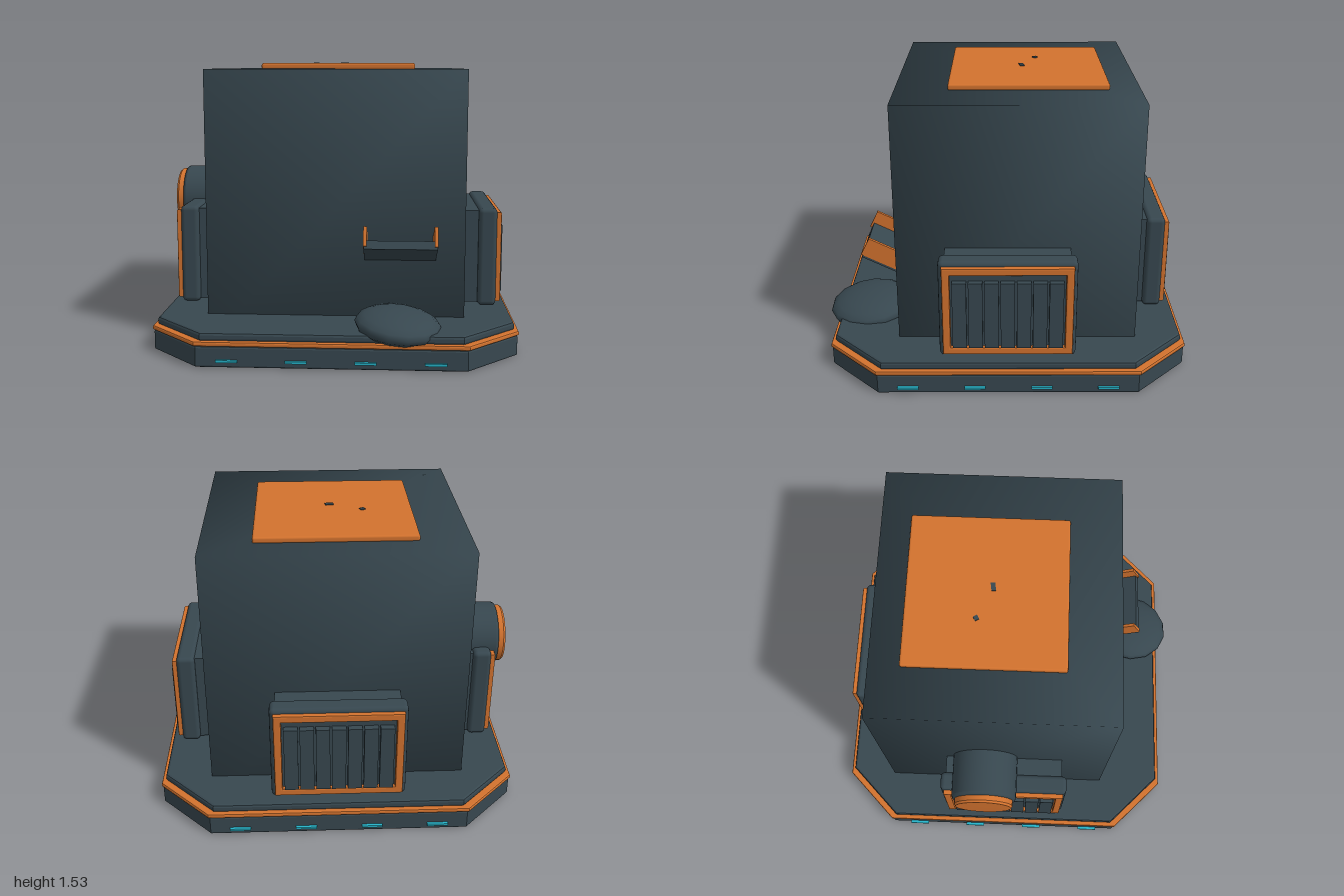
import * as THREE from 'three';
import { mergeVertices } from 'three/addons/utils/BufferGeometryUtils.js';
import { RoundedBoxGeometry } from 'three/addons/geometries/RoundedBoxGeometry.js';

const mat = (name, color) => {
  const m = new THREE.MeshStandardMaterial({ color });
  m.name = name;
  return m;
};

export function createModel() {
  const slate = mat('slate', 0x37474f);
  const orange = mat('orange', 0xd2722e);
  const cyan = mat('cyan', 0x26b4ca);
  const model = new THREE.Group();
  model.name = 'machine';
  const CZ = -0.023; // centre of the base along z

  const add = (parent, name, geo, material, x = 0, y = 0, z = 0) => {
    const mesh = new THREE.Mesh(geo, material);
    mesh.name = name;
    mesh.position.set(x, y, z);
    parent.add(mesh);
    return mesh;
  };
  const box = (w, h, d) => new THREE.BoxGeometry(w, h, d);
  const rounded = (w, h, d, r) => new RoundedBoxGeometry(w, h, d, 2, r);

  // Octagonal base: bevelled slab, trim band and upper deck
  const octagon = (half, cut) => {
    const a = half - cut;
    return new THREE.Shape([
      [half, -a], [half, a], [a, half], [-a, half],
      [-half, a], [-half, -a], [-a, -half], [a, -half],
    ].map(([x, y]) => new THREE.Vector2(x, y)));
  };
  const slab = (name, half, y0, y1, bevel, material) => {
    const geo = new THREE.ExtrudeGeometry(octagon(half - bevel, 0.272), {
      depth: y1 - y0 - 2 * bevel, bevelEnabled: true,
      bevelSize: bevel, bevelThickness: bevel, bevelSegments: 2,
    });
    geo.rotateX(-Math.PI / 2);
    add(model, name, geo, material, 0, y0 + bevel, CZ);
  };
  slab('baseSlab', 0.962, 0.005, 0.115, 0.01, slate);
  slab('baseTrim', 0.968, 0.115, 0.14, 0.008, orange);
  slab('baseDeck', 0.945, 0.135, 0.18, 0.014, slate);

  // Marker lights, four on each side of the base
  for (let side = 0; side < 4; side++) {
    const lights = new THREE.Group();
    lights.name = 'markerLights';
    lights.position.z = CZ;
    lights.rotation.y = side * Math.PI / 2;
    for (let i = 0; i < 4; i++) {
      add(lights, 'markerLight', box(0.11, 0.012, 0.016), cyan, (i - 1.5) * 0.35, 0.042, 0.97);
    }
    model.add(lights);
  }

  // Main housing, with normals shared across the corners for soft shading
  let housing = box(1.38, 1.475, 1.285);
  housing.deleteAttribute('normal');
  housing.deleteAttribute('uv');
  housing = mergeVertices(housing);
  housing.computeVertexNormals();
  add(model, 'housing', housing, slate, 0, 0.757, -0.072);

  // Roof plate with two small chips
  add(model, 'roofPlate', rounded(0.845, 0.035, 0.845, 0.012), orange, 0, 1.508, -0.13);
  [[-0.155, -0.18, 0.026, 0.5], [0.02, -0.1, 0.045, 0.15]].forEach(([x, z, w, turn]) => {
    add(model, 'roofChip', box(w, 0.01, 0.024), slate, x, 1.526, z).rotation.y = turn;
  });

  // Vents on the left, right and back
  const rect = (w, h, Kind) => new Kind([
    new THREE.Vector2(-w / 2, -h / 2), new THREE.Vector2(w / 2, -h / 2),
    new THREE.Vector2(w / 2, h / 2), new THREE.Vector2(-w / 2, h / 2),
  ]);
  const frameShape = rect(0.66, 0.485, THREE.Shape);
  frameShape.holes.push(rect(0.61, 0.435, THREE.Path));
  const frameGeo = new THREE.ExtrudeGeometry(frameShape, {
    depth: 0.024, bevelEnabled: true, bevelSize: 0.008, bevelThickness: 0.006, bevelSegments: 2,
  });
  for (const [name, turn] of [['leftVent', 1], ['backVent', 2], ['rightVent', 3]]) {
    const vent = new THREE.Group();
    vent.name = name;
    vent.position.set(0, 0.457, CZ + 0.003);
    vent.rotation.y = turn * Math.PI / 2;
    add(vent, 'ventNeck', box(0.66, 0.52, 0.16), slate, 0, 0, 0.72);
    add(vent, 'ventPanel', rounded(0.715, 0.55, 0.102, 0.025), slate, 0, 0, 0.834);
    add(vent, 'ventFrame', frameGeo, orange, 0, 0, 0.88);
    for (let i = 0; i < 7; i++) {
      add(vent, 'ventSlat', box(0.073, 0.375, 0.04), slate, (i - 3) * 0.083, -0.017, 0.9);
    }
    model.add(vent);
  }

  // Side pipe with an end cap
  const lathe = (pts) => new THREE.LatheGeometry(pts.map(([r, y]) => new THREE.Vector2(r, y)), 32);
  const pipe = new THREE.Group();
  pipe.name = 'sidePipe';
  pipe.position.set(-0.65, 0.727, -0.128);
  pipe.rotation.z = Math.PI / 2;
  add(pipe, 'pipeBody', lathe([
    [0.182, 0], [0.182, 0.27], [0.182, 0.27], [0.176, 0.284], [0.16, 0.288], [0, 0.288],
  ]), slate);
  add(pipe, 'pipeCap', lathe([
    [0.164, 0.28], [0.164, 0.315], [0.164, 0.315], [0.155, 0.327], [0.155, 0.327], [0, 0.328],
  ]), orange);
  model.add(pipe);

  // Tilted chute with side rails
  const chute = new THREE.Group();
  chute.name = 'chute';
  chute.position.set(0.346, 0.488, 0.57);
  chute.rotation.x = -0.46;
  add(chute, 'chuteFloor', box(0.378, 0.045, 0.32), slate, 0, 0.022, 0.065);
  for (const s of [-1, 1]) {
    add(chute, 'chuteRail', box(0.018, 0.105, 0.33), orange, s * 0.182, 0.065, 0.071);
  }
  model.add(chute);

  // Low lump resting on the front edge of the deck
  const lump = new THREE.SphereGeometry(1, 14, 10);
  lump.scale(0.226, 0.077, 0.235);
  const lumpMesh = add(model, 'lump', lump, slate, 0.336, 0.193, 0.765);
  lumpMesh.rotation.set(0.08, 0, -0.1);

  return model;
}
